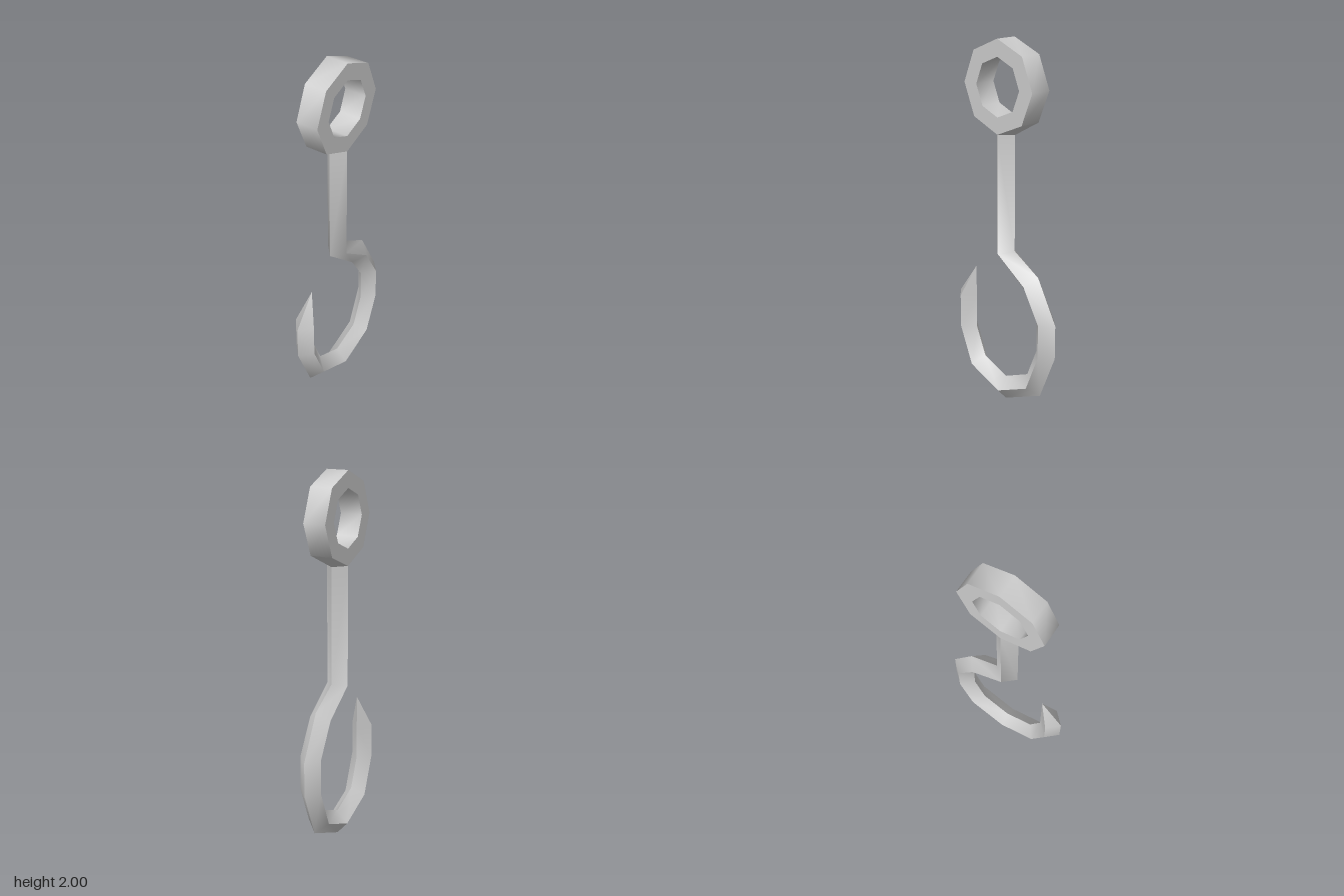
import * as THREE from 'three';
import { toCreasedNormals } from 'three/addons/utils/BufferGeometryUtils.js';

const HALF = 0.061; // half thickness across x
const CREASE = 0.9;
const EYE_Y = 1.758, EYE_R = 0.242, EYE_HOLE = 0.153;

const material = new THREE.MeshStandardMaterial({ color: 0xcccccc });

function part(name, geometry) {
  const mesh = new THREE.Mesh(toCreasedNormals(geometry, CREASE), material);
  mesh.name = name;
  return mesh;
}

function fromTriangles(triangles) {
  const geometry = new THREE.BufferGeometry();
  geometry.setAttribute('position', new THREE.Float32BufferAttribute(triangles.flat(2), 3));
  return geometry;
}

function octagon(radius) {
  return Array.from({ length: 8 }, (_, i) => {
    const a = (i * Math.PI) / 4;
    return new THREE.Vector2(Math.cos(a) * radius, Math.sin(a) * radius);
  });
}

// Eight-sided eye, its axis along x
function eyeGeometry() {
  const shape = new THREE.Shape(octagon(EYE_R));
  shape.holes.push(new THREE.Path(octagon(EYE_HOLE)));
  const geometry = new THREE.ExtrudeGeometry(shape, { depth: 2 * HALF, bevelEnabled: false });
  return geometry.translate(0, 0, -HALF).rotateY(Math.PI / 2).translate(0, EYE_Y, 0);
}

// Gussets joining the underside of the eye to the top of the shank
function neckGeometry() {
  const c = EYE_R * Math.SQRT1_2, y = EYE_Y - c, yLow = EYE_Y - EYE_R;
  const triangles = [];
  for (const s of [1, -1]) {
    // s turns the gusset half a turn about y
    const p = (x, py, z) => [x * s, py, z * s];
    const right = p(HALF, y, c), left = p(-HALF, y, c), tip = p(0, yLow, 0.066);
    triangles.push([right, left, tip]);
    triangles.push([right, tip, p(HALF, yLow, 0)]);
    triangles.push([left, p(-HALF, yLow, 0), tip]);
  }
  return fromTriangles(triangles);
}

// Diamond sections swept down the shank and round the bend to the point.
// Each station: inner ridge z, y; middle z, y; outer ridge z, y
function hookGeometry() {
  const stations = [
    [0.066, 1.517, 0, 1.517, -0.066, 1.517],
    [0.066, 0.868, 0, 0.872, -0.066, 0.89],
    [-0.143, 0.688, -0.191, 0.736, -0.238, 0.784],
    [-0.23, 0.55, -0.297, 0.55, -0.363, 0.55],
    [-0.23, 0.364, -0.297, 0.364, -0.363, 0.364],
    [-0.164, 0.205, -0.212, 0.157, -0.26, 0.11],
    [0, 0.136, 0, 0.068, 0, 0],
    [0.164, 0.205, 0.212, 0.157, 0.26, 0.11],
    [0.23, 0.364, 0.297, 0.364, 0.363, 0.364],
    [0.23, 0.55, 0.297, 0.55, 0.363, 0.55],
  ];
  const sections = stations.map(([iz, iy, mz, my, oz, oy]) => [
    [HALF, my, mz], [0, iy, iz], [-HALF, my, mz], [0, oy, oz],
  ]);
  const tip = [0, 0.73, 0.23];
  const triangles = [];
  sections.forEach((section, i) => {
    const next = sections[i + 1];
    for (let j = 0; j < 4; j++) {
      const k = (j + 1) % 4;
      if (next) {
        // mirrored diagonals keep both sides alike
        if (j % 2) triangles.push([section[j], section[k], next[j]], [section[k], next[k], next[j]]);
        else triangles.push([section[j], section[k], next[k]], [section[j], next[k], next[j]]);
      } else {
        triangles.push([section[j], section[k], tip]);
      }
    }
  });
  return fromTriangles(triangles);
}

export function createModel() {
  const model = new THREE.Group();
  model.name = 'hangingHook';
  model.add(part('eye', eyeGeometry()));
  model.add(part('neck', neckGeometry()));
  model.add(part('shankAndHook', hookGeometry()));
  return model;
}
